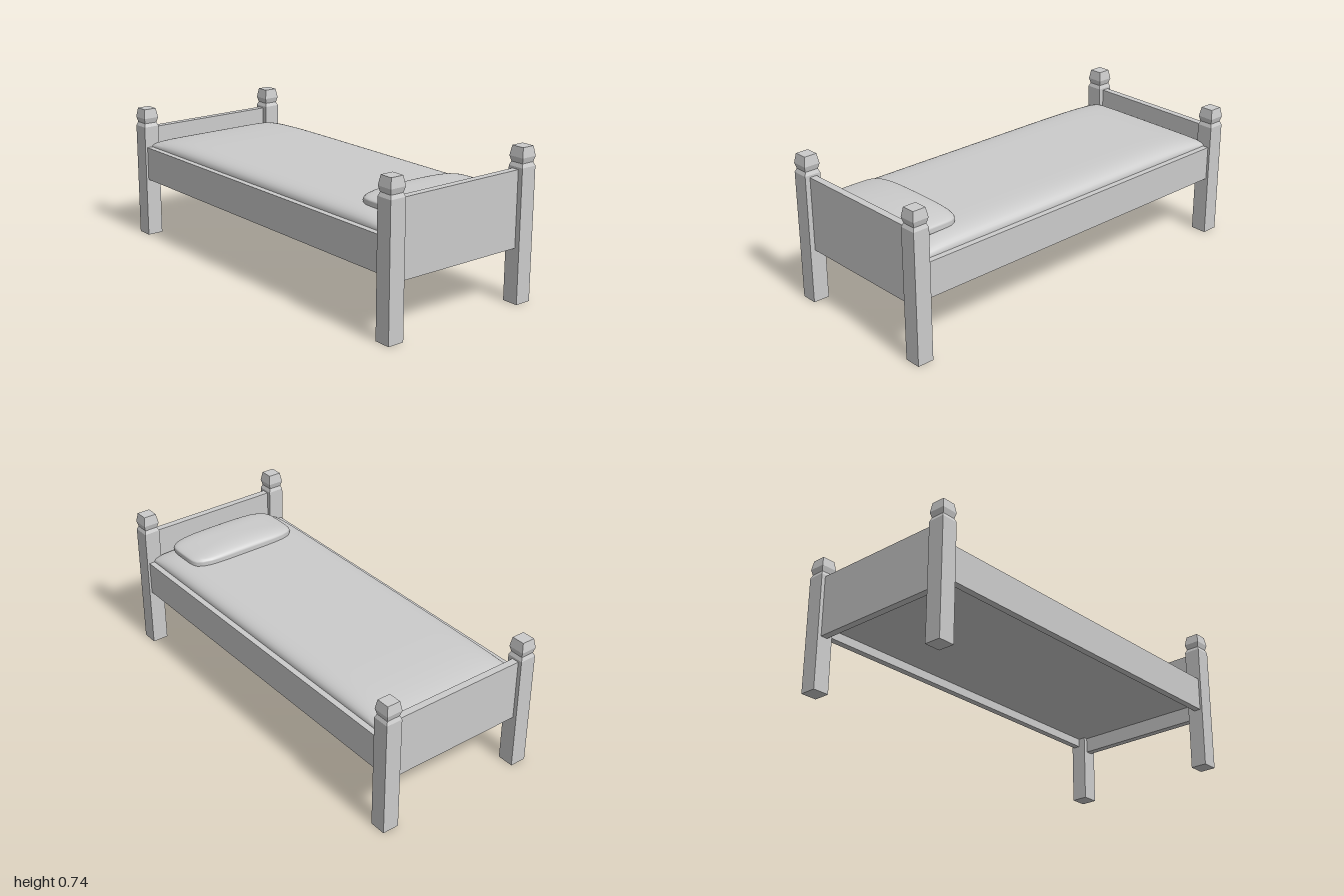
import * as THREE from 'three';
import { toCreasedNormals } from 'three/addons/utils/BufferGeometryUtils.js';

const material = new THREE.MeshStandardMaterial({ color: 0xcccccc });

function add(group, name, geometry, x = 0, y = 0, z = 0) {
  const mesh = new THREE.Mesh(geometry, material);
  mesh.name = name;
  mesh.position.set(x, y, z);
  group.add(mesh);
}

// Board given by its lower and upper corner heights
function board(group, name, width, bottom, top, depth, x, z) {
  add(group, name, new THREE.BoxGeometry(width, top - bottom, depth), x, (bottom + top) / 2, z);
}

// Square post with a waisted, faceted finial
function postGeometry(height) {
  const profile = [
    [0, 0], [0.0415, 0], [0.0415, height - 0.092], [0.034, height - 0.074],
    [0.041, height - 0.047], [0.033, height], [0, height],
  ].map(([half, y]) => new THREE.Vector2(half * Math.SQRT2, y));
  const geometry = new THREE.LatheGeometry(profile, 4).rotateY(Math.PI / 4);
  return toCreasedNormals(geometry, 0.1);
}

// Flat-bottomed box whose top swells up and rolls off at the edges
function mattressGeometry() {
  const halfX = 0.387, halfZ = 0.938, bottom = 0.345, edge = 0.478, swell = 0.055;
  const geometry = new THREE.BoxGeometry(2, 2, 2, 32, 1, 48);
  const p = geometry.attributes.position;
  const rollOff = (u, n) => Math.sqrt(Math.max(0, 1 - Math.abs(u) ** n));
  for (let i = 0; i < p.count; i++) {
    const u = Math.sin(p.getX(i) * Math.PI / 2);
    const v = Math.sin(p.getZ(i) * Math.PI / 2);
    const top = edge + swell * rollOff(u, 8) * rollOff(v, v < 0 ? 6 : 12);
    p.setXYZ(i, u * halfX, p.getY(i) > 0 ? top : bottom, v * halfZ);
  }
  return toCreasedNormals(geometry, 0.7);
}

// Sphere squared off into a plump cushion with slightly drooping ends
function pillowGeometry(halfX, halfY, halfZ) {
  const geometry = new THREE.SphereGeometry(1, 48, 24);
  const p = geometry.attributes.position;
  for (let i = 0; i < p.count; i++) {
    const x = p.getX(i), y = p.getY(i), z = p.getZ(i);
    const r = Math.hypot(x, z);
    let u = 0, v = 0;
    if (r > 1e-6) {
      const n = 5;
      const c = x / r, s = z / r;
      // Even out the angle for the long shape, then push to a superellipse
      const k = Math.pow(Math.abs(c) ** n + Math.abs(s) ** n, -1 / n) * Math.pow(r, 0.65);
      u = c * k;
      v = s * k;
    }
    const height = Math.sign(y) * Math.pow(Math.abs(y), 0.75) * halfY;
    p.setXYZ(i, u * halfX, height - (y > 0 ? 0.012 * u * u * y : 0), v * halfZ);
  }
  geometry.computeVertexNormals();
  return toCreasedNormals(geometry, 1.2);
}

export function createModel() {
  const bed = new THREE.Group();
  bed.name = 'bed';

  // Posts and side rails, mirrored left and right
  for (const side of [1, -1]) {
    const label = side > 0 ? 'left' : 'right';
    add(bed, label + 'HeadPost', postGeometry(0.737), side * 0.3875, 0, 0.9585);
    add(bed, label + 'FootPost', postGeometry(0.674), side * 0.3875, 0, -0.9585);
    board(bed, label + 'Rail', 0.034, 0.302, 0.474, 1.836, side * 0.4, 0);
  }

  // Boards at each end
  board(bed, 'headboard', 0.7, 0.267, 0.635, 0.036, 0, 0.957);
  board(bed, 'footboard', 0.7, 0.267, 0.572, 0.036, 0, -0.962);

  // Bedding
  add(bed, 'mattress', mattressGeometry());
  add(bed, 'pillow', pillowGeometry(0.305, 0.046, 0.148), 0, 0.542, 0.77);
  return bed;
}
